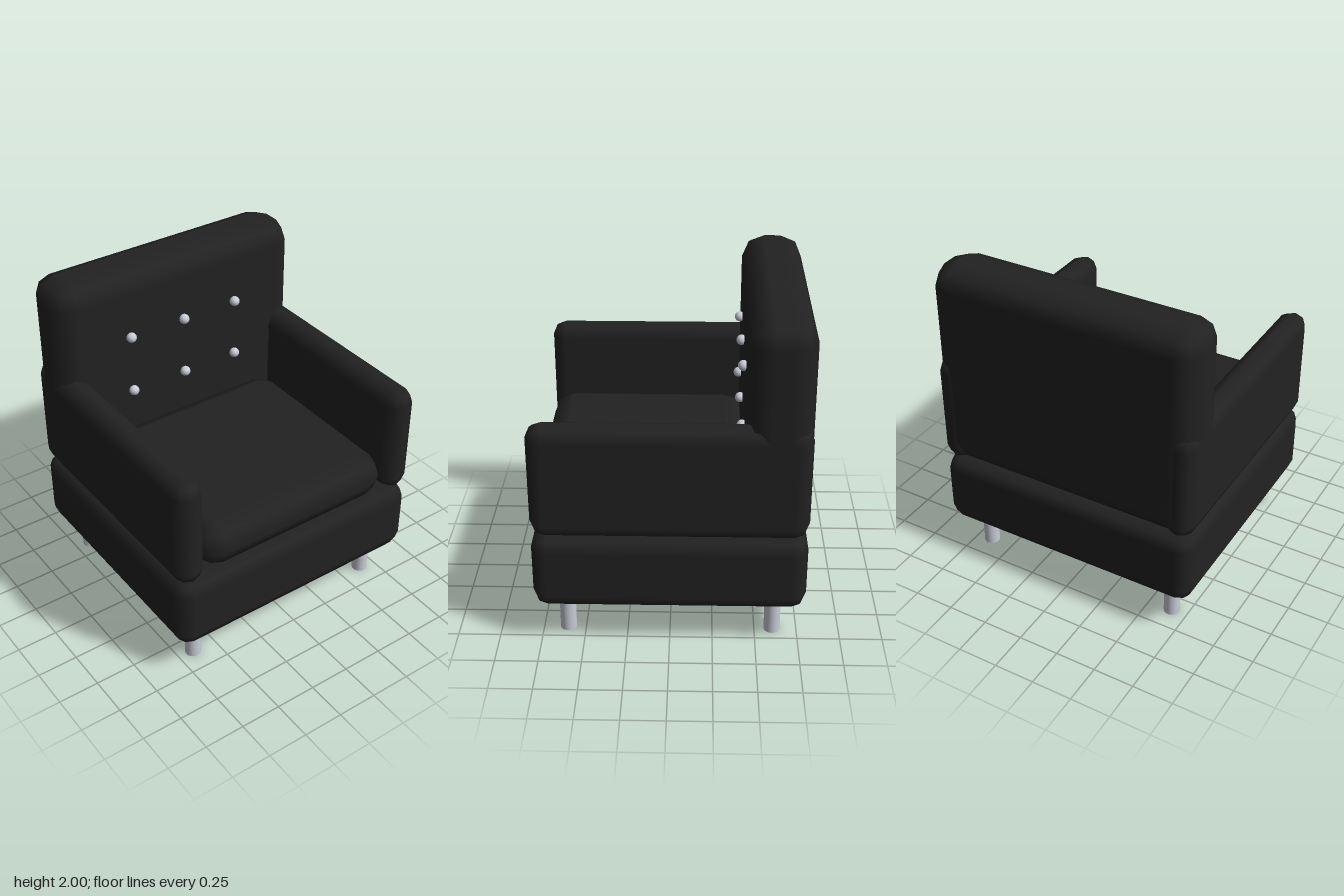
import * as THREE from 'three';
import { RoundedBoxGeometry } from 'three/addons/geometries/RoundedBoxGeometry.js';

export function createModel() {
  const chair = new THREE.Group();
  chair.name = 'armchair';
  const leather = new THREE.MeshStandardMaterial({ name: 'black leather', color: 0x222222 });
  const metal = new THREE.MeshStandardMaterial({ name: 'pale metal', color: 0xc8ccd6 });

  const add = (name, geometry, material, x, y, z) => {
    const mesh = new THREE.Mesh(geometry, material);
    mesh.name = name;
    mesh.position.set(x, y, z);
    chair.add(mesh);
  };
  // Padded block given by its extents, with two facets around each edge
  const pad = (name, [x0, x1], [y0, y1], [z0, z1], radius) =>
    add(name, new RoundedBoxGeometry(x1 - x0, y1 - y0, z1 - z0, 1, radius), leather,
      (x0 + x1) / 2, (y0 + y1) / 2, (z0 + z1) / 2);

  // Upholstery
  pad('base', [-0.835, 0.835], [0.24, 0.705], [-0.788, 0.79], 0.09);
  pad('seatCushion', [-0.65, 0.65], [0.705, 0.98], [-0.45, 0.775], 0.125);
  pad('backrest', [-0.835, 0.835], [0.705, 2], [-0.788, -0.42], 0.135);
  pad('leftArm', [0.655, 0.835], [0.705, 1.4], [-0.788, 0.79], 0.087);
  pad('rightArm', [-0.835, -0.655], [0.705, 1.4], [-0.788, 0.79], 0.087);

  // Backrest buttons, two rows of three
  const button = new THREE.SphereGeometry(0.031, 16, 12);
  for (const y of [1.215, 1.587])
    for (const x of [-0.373, 0, 0.373]) add('button', button, metal, x, y, -0.405);

  // Legs
  const leg = new THREE.CylinderGeometry(0.048, 0.048, 0.28, 24);
  for (const x of [-0.65, 0.65])
    for (const z of [-0.605, 0.605]) add('leg', leg, metal, x, 0.14, z);

  return chair;
}
